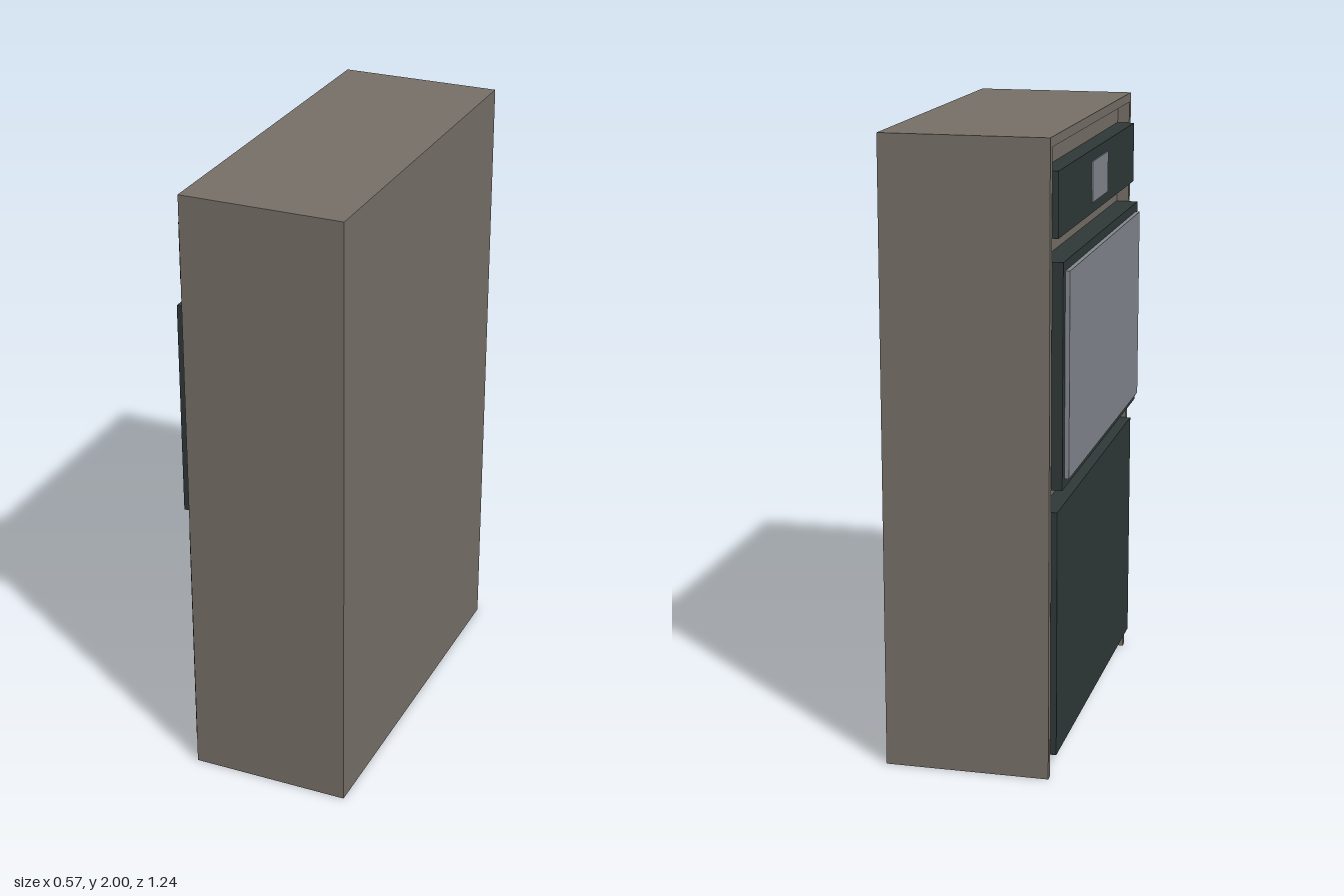
import * as THREE from 'three';

const mat = (name, color) => {
  const m = new THREE.MeshStandardMaterial({ color });
  m.name = name;
  return m;
};

export function createModel() {
  const group = new THREE.Group();
  const taupe = mat('taupe cabinet', 0x766f67);
  const dark = mat('dark door', 0x303838);
  const glass = mat('grey glass', 0x83888f);

  // Box given by its limits on each axis; z is symmetric
  const box = (name, material, x0, x1, y0, y1, z0, z1) => {
    const mesh = new THREE.Mesh(new THREE.BoxGeometry(x1 - x0, y1 - y0, z1 - z0), material);
    mesh.position.set((x0 + x1) / 2, (y0 + y1) / 2, (z0 + z1) / 2);
    mesh.name = name;
    group.add(mesh);
  };

  // Cabinet: core set back behind a frame of two sides and a top, open at the toe
  const back = 0.285, face = -0.24, recess = -0.2, half = 0.622, inner = 0.595;
  box('cabinetCore', taupe, recess, back, 0, 1.97, -inner, inner);
  box('cabinetTop', taupe, face, back, 1.97, 2, -inner, inner);
  box('leftSidePanel', taupe, face, back, 0, 2, inner, half);
  box('rightSidePanel', taupe, face, back, 0, 2, -half, -inner);

  // Appliance fronts on the -x face
  box('controlPanel', dark, -0.258, recess, 1.7, 1.9, -0.59, 0.59);
  box('controlDisplay', glass, -0.263, -0.258, 1.735, 1.865, -0.12, 0.12);
  box('ovenDoor', dark, -0.273, recess, 0.93, 1.63, -0.59, 0.59);
  box('ovenWindow', glass, -0.287, -0.273, 0.96, 1.6, -0.56, 0.56);
  box('lowerDoor', dark, -0.258, recess, 0.07, 0.86, -0.59, 0.59);

  return group;
}
